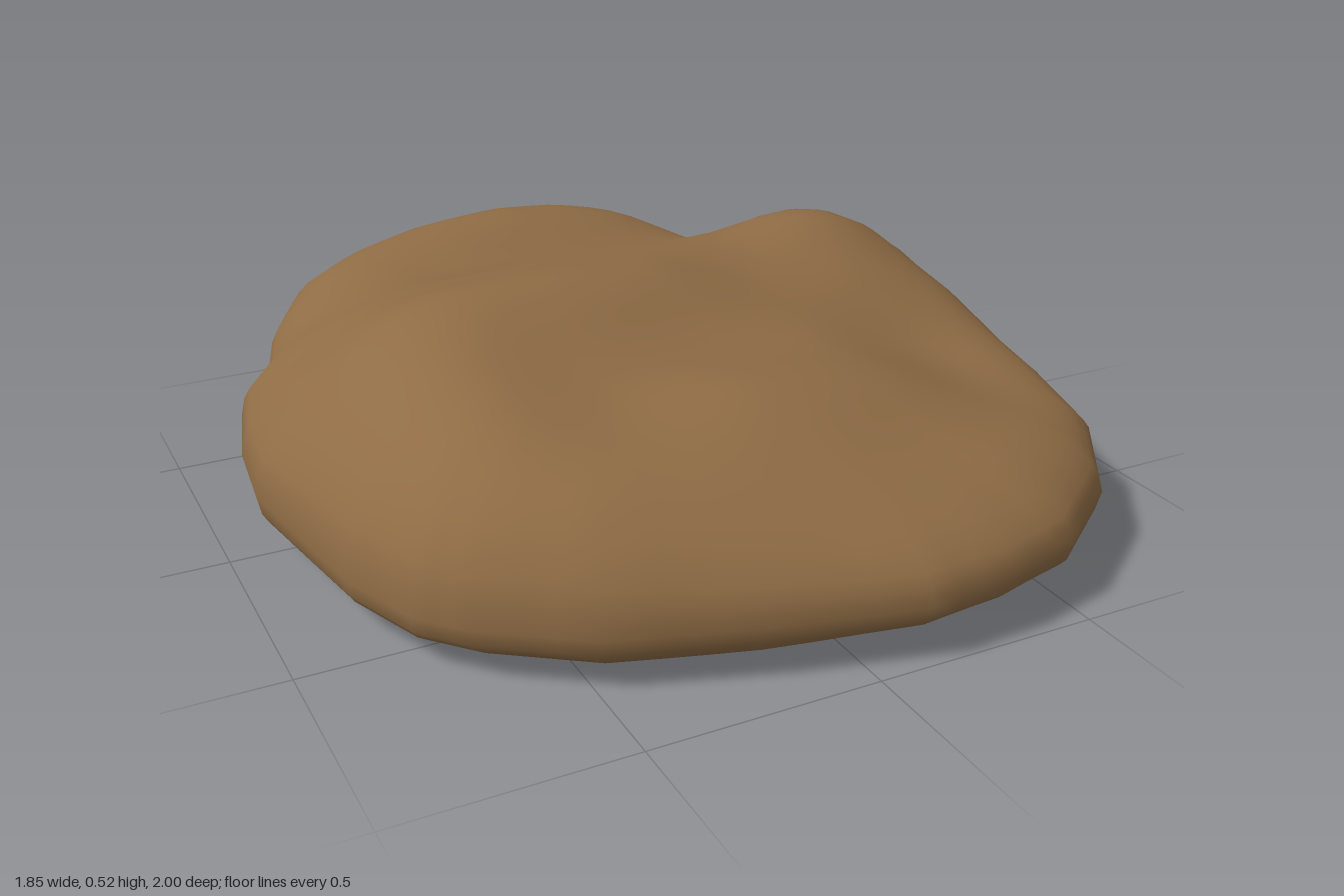
import * as THREE from 'three';

// Plan outline, clockwise from the back
const OUTLINE = [
  [-0.07, -1], [0.11, -0.98], [0.31, -0.91], [0.49, -0.8], [0.58, -0.68], [0.77, -0.5], [0.9, -0.26],
  [0.92, 0], [0.88, 0.35], [0.82, 0.6], [0.69, 0.79], [0.49, 0.94], [0.3, 0.99], [0.11, 1],
  [-0.2, 0.92], [-0.5, 0.82], [-0.7, 0.68], [-0.79, 0.58], [-0.86, 0.4], [-0.93, 0], [-0.91, -0.2],
  [-0.86, -0.4], [-0.77, -0.52], [-0.72, -0.67], [-0.64, -0.81], [-0.51, -0.9], [-0.33, -0.97],
];

// Top heights: rows z = -1..1 in steps of 0.25, columns x = -0.9..0.9 in steps of 0.3
const HEIGHTS = [
  [0.30, 0.38, 0.44, 0.45, 0.40, 0.28, 0.22],
  [0.31, 0.42, 0.46, 0.47, 0.43, 0.27, 0.24],
  [0.32, 0.40, 0.40, 0.38, 0.36, 0.39, 0.33],
  [0.34, 0.44, 0.47, 0.48, 0.48, 0.52, 0.45],
  [0.38, 0.51, 0.53, 0.51, 0.45, 0.43, 0.40],
  [0.40, 0.49, 0.46, 0.42, 0.39, 0.32, 0.34],
  [0.40, 0.45, 0.42, 0.43, 0.39, 0.31, 0.32],
  [0.33, 0.39, 0.38, 0.36, 0.33, 0.32, 0.29],
  [0.24, 0.28, 0.30, 0.30, 0.30, 0.28, 0.24],
];

// Smooth cubic sampling of a row of values
function sample(values, t) {
  const last = values.length - 1;
  t = THREE.MathUtils.clamp(t, 0, last);
  const i = Math.min(Math.floor(t), last - 1), f = t - i;
  const at = (k) => values[THREE.MathUtils.clamp(k, 0, last)];
  const [a, b, c, d] = [at(i - 1), at(i), at(i + 1), at(i + 2)];
  return b + 0.5 * f * (c - a + f * (2 * a - 5 * b + 4 * c - d + f * (3 * (b - c) + d - a)));
}

const bump = (x, z, cx, cz, size) => Math.exp(-((x - cx) ** 2 + (z - cz) ** 2) / size);
const topHeight = (x, z) => sample(HEIGHTS.map((row) => sample(row, (x + 0.9) / 0.3)), (z + 1) / 0.25);
const rimHeight = (x, z) => 0.165 + 0.02 * x - 0.03 * z;
// Underside sags in the middle and lifts towards the left and front edges
const baseHeight = (x, z) => 0.025 - 0.02 * bump(x, z, -0.05, 0.3, 0.15)
  + 0.05 * bump(x, z, 0.75, 0.05, 0.12) + 0.035 * bump(x, z, 0.3, 0.85, 0.12);

// Straight-sided rim, each side cut into equal steps
function rimPoints(steps) {
  return OUTLINE.flatMap(([x, z], i) => {
    const [nx, nz] = OUTLINE[(i + 1) % OUTLINE.length];
    return Array.from({ length: steps }, (_, k) => ({
      x: x + (nx - x) * k / steps, z: z + (nz - z) * k / steps,
    }));
  });
}

function stoneGeometry() {
  const rim = rimPoints(3);
  const sides = rim.length;
  const inner = [];
  for (let i = 1; i <= 16; i++) inner.push(i * 0.05);
  inner.push(0.84, 0.88, 0.92, 0.95, 0.975, 0.99);

  // Rings run from the crown over the rim to the underside
  const rings = [
    ...inner.map((s) => [s, true]), [1, true],
    ...inner.slice().reverse().map((s) => [s, false]),
  ];
  const positions = [0, topHeight(0, 0), 0];
  for (const [s, top] of rings) {
    const rounding = Math.sqrt(1 - Math.pow(s, top ? 6 : 14));
    for (const p of rim) {
      const x = p.x * s, z = p.z * s, edge = rimHeight(p.x, p.z);
      const goal = top ? topHeight(x, z) : baseHeight(x, z);
      positions.push(x, edge + (goal - edge) * rounding, z);
    }
  }
  positions.push(0, baseHeight(0, 0), 0);

  const end = rings.length + 1;
  const at = (i, j) => (i === 0 ? 0 : i === end ? 1 + rings.length * sides : 1 + (i - 1) * sides + (j % sides));
  const index = [];
  for (let i = 0; i < end; i++) {
    for (let j = 0; j < sides; j++) {
      const a = at(i, j), b = at(i, j + 1), c = at(i + 1, j), d = at(i + 1, j + 1);
      if (i > 0) index.push(a, b, c);
      if (i < end - 1) index.push(b, d, c);
    }
  }

  const geometry = new THREE.BufferGeometry();
  geometry.setAttribute('position', new THREE.Float32BufferAttribute(positions, 3));
  geometry.setIndex(index);
  geometry.computeBoundingBox();
  geometry.translate(0, -geometry.boundingBox.min.y, 0);
  geometry.computeVertexNormals();
  return geometry;
}

export function createModel() {
  const group = new THREE.Group();
  group.name = 'flatStone';
  const brown = new THREE.MeshStandardMaterial({ color: 0x8f6c45 });
  brown.name = 'brown';
  const stone = new THREE.Mesh(stoneGeometry(), brown);
  stone.name = 'stoneBody';
  group.add(stone);
  return group;
}
